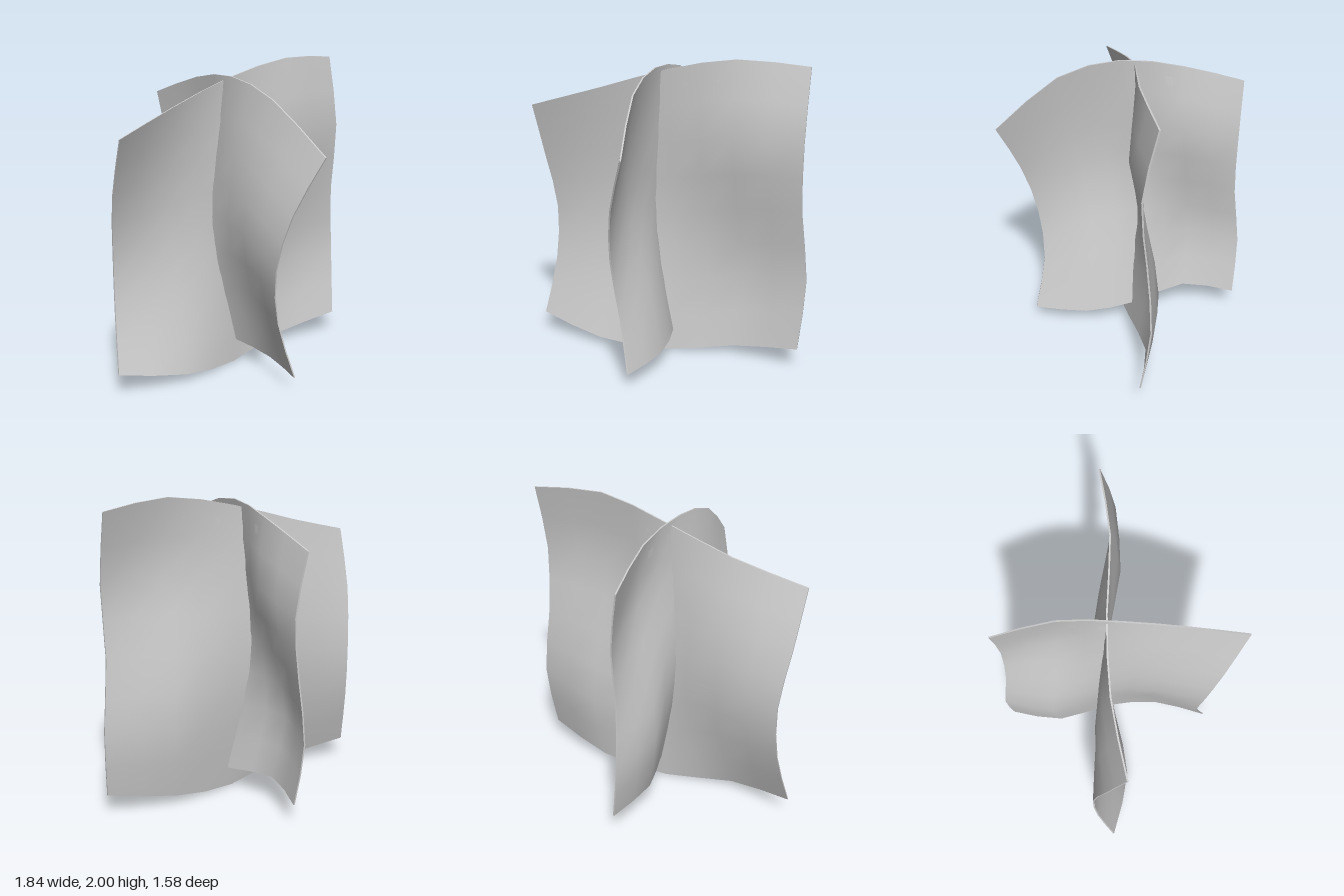
import * as THREE from 'three';

// Smooth curve through evenly spaced values, t from 0 to 1
function spline(values, t) {
  const n = values.length - 1;
  const i = Math.min(Math.floor(t * n), n - 1);
  const f = t * n - i;
  const b = values[i], c = values[i + 1];
  const a = i > 0 ? values[i - 1] : 2 * b - c;
  const d = i + 2 <= n ? values[i + 2] : 2 * c - b;
  return b + 0.5 * f * (c - a + f * (2 * a - 5 * b + 4 * c - d + f * (3 * (b - c) + d - a)));
}

// Thin box bent into a wavy panel. Edge curves give the outline;
// depth rows run from bottom to top. place() maps (side, height, depth) to x, y, z.
function wavyPanel(name, { bottom, top, start, end, depth }, place) {
  const thickness = 0.01;
  const geometry = new THREE.BoxGeometry(1, 1, thickness, 8, 8, 1);
  const pos = geometry.attributes.position;
  for (let i = 0; i < pos.count; i++) {
    const u = pos.getX(i) + 0.5;
    const v = pos.getY(i) + 0.5;
    const side = THREE.MathUtils.lerp(spline(start, v), spline(end, v), u);
    const height = THREE.MathUtils.lerp(spline(bottom, u), spline(top, u), v);
    const bulge = spline(depth.map((row) => spline(row, u)), v);
    pos.setXYZ(i, ...place(side, height, bulge + pos.getZ(i)));
  }
  geometry.computeVertexNormals();
  const material = new THREE.MeshStandardMaterial({ color: 0xcccccc, side: THREE.DoubleSide });
  const mesh = new THREE.Mesh(geometry, material);
  mesh.name = name;
  return mesh;
}

export function createModel() {
  const group = new THREE.Group();
  group.name = 'crossedPanels';

  // Wide panel, running from right to left
  group.add(wavyPanel('widePanel', {
    bottom: [0.14, 0.055, 0, 0.065, 0.145],
    top: [1.64, 1.77, 1.91, 2.0, 1.97],
    start: [-0.92, -0.87, -0.86, -0.9, -0.92],
    end: [0.89, 0.92, 0.88, 0.885, 0.89],
    depth: [
      [-0.04, 0.05, -0.04, -0.12, -0.04],
      [-0.14, -0.07, -0.09, -0.185, -0.1],
      [-0.16, -0.145, -0.11, -0.11, -0.075],
      [-0.08, -0.13, -0.09, -0.005, -0.04],
      [0.05, -0.05, -0.075, -0.06, -0.13],
    ],
  }, (side, height, depth) => [side, height, depth]));

  // Cross panel, running from front to back
  group.add(wavyPanel('crossPanel', {
    bottom: [0.1, 0.11, 0.145, 0.19, 0.155],
    top: [1.53, 1.83, 1.93, 1.885, 1.75],
    start: [0.6, 0.53, 0.56, 0.655, 0.79],
    end: [-0.76, -0.785, -0.74, -0.735, -0.76],
    depth: [
      [-0.03, 0.055, 0.02, -0.1, -0.04],
      [-0.11, -0.04, -0.08, -0.17, -0.09],
      [-0.155, -0.15, -0.125, -0.1, -0.07],
      [-0.11, -0.14, -0.11, -0.005, -0.04],
      [0.02, -0.06, -0.07, -0.05, -0.1],
    ],
  }, (side, height, depth) => [depth, height, side]));

  return group;
}
